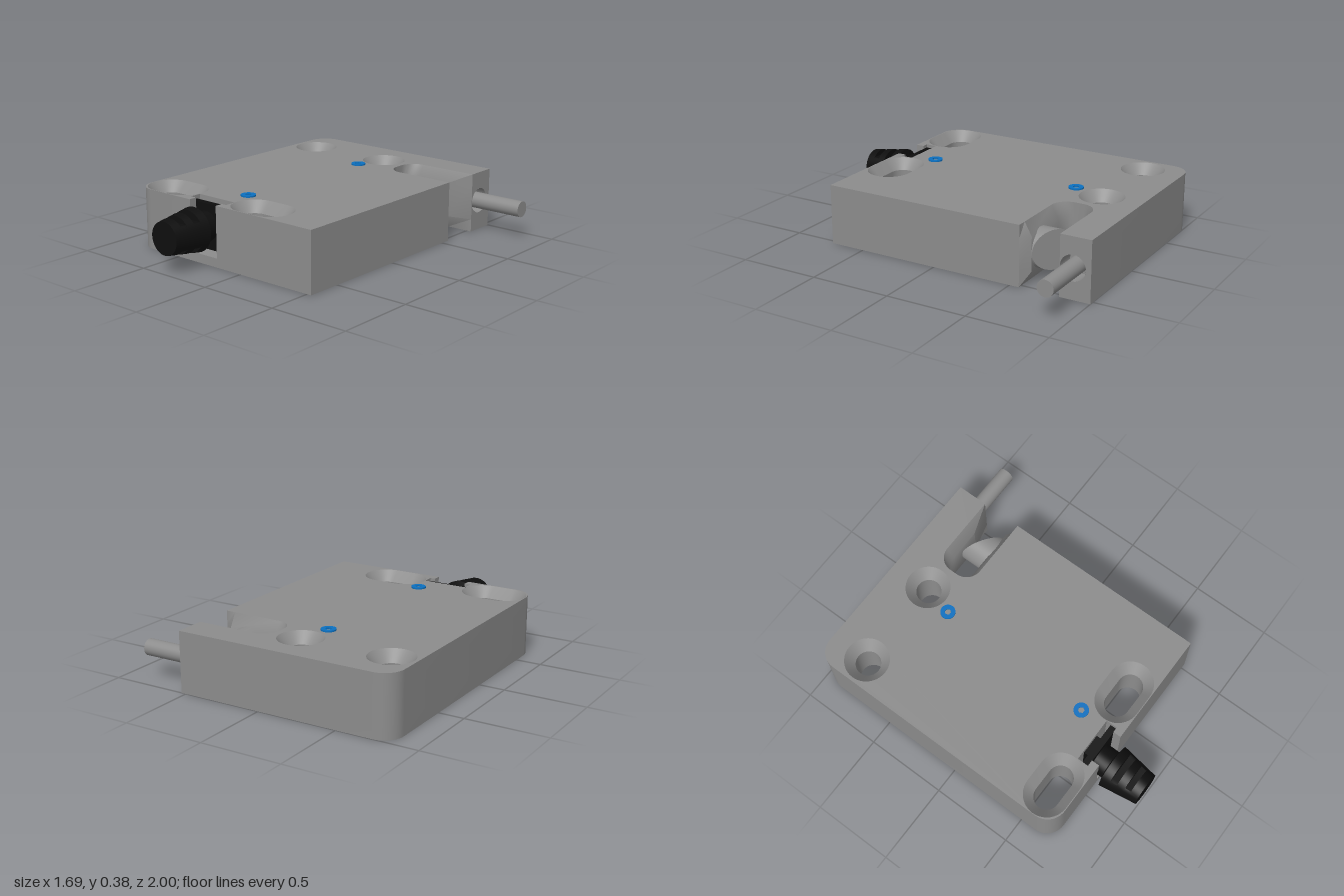
import * as THREE from 'three';
import { toCreasedNormals } from 'three/addons/utils/BufferGeometryUtils.js';

const H = 0.37, DEG = Math.PI / 180;

// Points [x, z] along an elliptical arc, counter-clockwise seen from above
function arc(cx, cz, rx, rz, from, to, n = 12) {
  return Array.from({ length: n + 1 }, (_, i) => {
    const a = (from + (to - from) * i / n) * DEG;
    return [cx + rx * Math.cos(a), cz - rz * Math.sin(a)];
  });
}

// Walls between rings of equal length; each section is { y, pts }
function loft(sections, skip = -1) {
  const pos = [];
  for (let s = 0; s < sections.length - 1; s++) {
    const lo = sections[s], hi = sections[s + 1], n = lo.pts.length;
    for (let i = 0; i < n; i++) {
      if (i === skip) continue;
      const j = (i + 1) % n;
      const at = (sec, k) => [sec.pts[k][0], sec.y, sec.pts[k][1]];
      const a = at(lo, i), b = at(lo, j), c = at(hi, j), d = at(hi, i);
      pos.push(...a, ...b, ...c, ...a, ...c, ...d);
    }
  }
  const g = new THREE.BufferGeometry();
  g.setAttribute('position', new THREE.Float32BufferAttribute(pos, 3));
  return toCreasedNormals(g, 30 * DEG);
}

// Body outline; t narrows the side pocket towards mid height
function outline(t) {
  const inset = 0.045 * t, front = -0.56 - inset, back = -0.81 + inset, rz = 0.1 - inset;
  return [
    ...arc(-0.725, 0.6, 0.12, 0.12, 180, 270),
    // cable notch
    [-0.395, 0.72], [-0.395, 0.67], [-0.435, 0.67], [-0.435, 0.6],
    [-0.152, 0.6], [-0.152, 0.67], [-0.185, 0.67], [-0.185, 0.72],
    [0.53, 0.72], [0.53, -0.56],
    // side pocket
    [0.47, front],
    ...arc(0.155, -0.66, 0.1, rz, 270, 180),
    ...arc(0.155, -0.71, 0.1, rz, 180, 90),
    [0.36, back], [0.53, -0.81], [0.53, -1],
    ...arc(-0.725, -0.88, 0.12, 0.12, 90, 180),
  ];
}

// Round hole (half = 0) or slot ring
const holeRing = (x, z, half, r) => [
  ...arc(x + half, z, r, r, -90, 90, 20), ...arc(x - half, z, r, r, 90, 270, 20)];

// Flat face from [x, z] points at height y, facing up or down
function cap(points, holes, y, up) {
  const s = up ? -1 : 1;
  const toVec = (list) => list.map(([x, z]) => new THREE.Vector2(x, s * z));
  const shape = new THREE.Shape(toVec(points));
  holes.forEach((h) => shape.holes.push(new THREE.Path(toVec(h))));
  return new THREE.ShapeGeometry(shape).rotateX(s * Math.PI / 2).translate(0, y, 0);
}

export function createModel() {
  const root = new THREE.Group();
  const material = (name, color, side = THREE.FrontSide) => {
    const m = new THREE.MeshStandardMaterial({ color, side });
    m.name = name;
    return m;
  };
  const grey = material('greyMetal', 0x8c8c8c, THREE.DoubleSide);
  const black = material('blackRubber', 0x0e0e0e);
  const blue = material('blueScrew', 0x0b70c0);
  const add = (name, geometry, mat, parent = root) => {
    const mesh = new THREE.Mesh(geometry, mat);
    mesh.name = name;
    parent.add(mesh);
    return mesh;
  };
  const box = (x0, x1, y0, y1, z0, z1) => new THREE.BoxGeometry(x1 - x0, y1 - y0, z1 - z0)
    .translate((x0 + x1) / 2, (y0 + y1) / 2, (z0 + z1) / 2);

  // Housing walls, leaving the arm end open for its bored face
  const body = new THREE.Group();
  body.name = 'housing';
  root.add(body);
  const wide = outline(0), narrow = outline(1);
  const armEnd = wide.findIndex(([x, z]) => x === 0.53 && z === -0.81);
  add('housingWalls', loft([
    { y: 0, pts: wide }, { y: 0.08, pts: narrow }, { y: H - 0.08, pts: narrow }, { y: H, pts: wide },
  ], armEnd), grey, body);

  // Mounting holes and slots, countersunk on both faces
  const mounts = [[-0.69, -0.745, 0], [-0.115, -0.745, 0], [-0.64, 0.58, 0.067], [0.05, 0.58, 0.067]];
  const rims = mounts.map(([x, z, half]) => holeRing(x, z, half, 0.135));
  mounts.forEach(([x, z, half], i) => {
    const big = [...rims[i]].reverse();
    const small = holeRing(x, z, half, 0.076).reverse();
    add('mountingHole', loft([
      { y: 0, pts: big }, { y: 0.065, pts: small }, { y: H - 0.065, pts: small }, { y: H, pts: big },
    ]), grey, body);
  });
  add('topFace', cap(wide, rims, H, true), grey, body);
  add('bottomFace', cap(wide, rims, 0, false), grey, body);

  // Floor of the cable notch
  add('notchFloor', box(-0.435, -0.152, 0, 0.055, 0.6, 0.67), grey, body);
  add('notchLip', box(-0.395, -0.185, 0, 0.055, 0.67, 0.72), grey, body);

  // Arm end with the rod bore
  const end = new THREE.Shape([[0.81, 0], [1, 0], [1, H], [0.81, H]].map((p) => new THREE.Vector2(...p)));
  end.holes.push(new THREE.Path().absarc(0.89, 0.187, 0.078, 0, Math.PI * 2));
  add('armEnd', new THREE.ShapeGeometry(end, 24).rotateY(Math.PI / 2).translate(0.53, 0, 0), grey, body);
  add('rodBore', new THREE.CylinderGeometry(0.078, 0.078, 0.12, 32, 1, true)
    .rotateZ(Math.PI / 2).translate(0.47, 0.187, -0.89), grey, body);
  add('boreFloor', new THREE.CircleGeometry(0.078, 32)
    .rotateY(Math.PI / 2).translate(0.41, 0.187, -0.89), grey, body);
  add('rod', new THREE.CylinderGeometry(0.05, 0.05, 0.435, 32)
    .rotateZ(Math.PI / 2).translate(0.6275, 0.187, -0.89), grey);

  // Latch bolt: cylinder with its free end cut at a slant
  const bolt = new THREE.CylinderGeometry(0.12, 0.12, 1, 40).rotateX(Math.PI / 2);
  const p = bolt.attributes.position;
  for (let i = 0; i < p.count; i++) {
    p.setZ(i, p.getZ(i) > 0 ? -0.54 : -0.69 + p.getX(i) * 0.68);
  }
  bolt.translate(0.35, 0.19, 0);
  add('latchBolt', toCreasedNormals(bolt, 30 * DEG), grey);

  // Cable grommet: neck, then a tapered sleeve with cuts above and below
  const grommet = new THREE.Group();
  grommet.name = 'cableGrommet';
  root.add(grommet);
  const taper = (z) => 0.135 - (z - 0.765) * 0.15;
  const ring = (z, r, limit = 1) => ({
    y: z,
    pts: arc(0, 0, r, r, 0, 360, 48).slice(0, 48)
      .map(([x, v]) => [x, Math.max(-limit, Math.min(limit, v))]),
  });
  const sections = [ring(0.66, 0.09), ring(0.755, 0.09), ring(0.765, 0.135)];
  for (const [z0, z1] of [[0.818, 0.861], [0.909, 0.947]]) {
    sections.push(ring(z0, taper(z0)), ring(z0, taper(z0), 0.075),
      ring(z1, taper(z1), 0.075), ring(z1, taper(z1)));
  }
  sections.push(ring(1, 0.1), ring(1, 0));
  add('grommetSleeve', loft(sections).rotateX(Math.PI / 2).translate(-0.315, 0.215, 0), black, grommet);
  add('grommetPlate', box(-0.433, -0.155, 0.075, 0.35, 0.63, 0.67), black, grommet);
  add('grommetPlug', box(-0.375, -0.25, 0.1, 0.33, 0.601, 0.63), black, grommet);

  // Small set screws with hexagonal sockets
  const screw = new THREE.Shape().absarc(0, 0, 0.045, 0, Math.PI * 2);
  screw.holes.push(new THREE.Path(Array.from({ length: 6 }, (_, i) =>
    new THREE.Vector2(0.02 * Math.cos(i * 60 * DEG), 0.02 * Math.sin(i * 60 * DEG)))));
  for (const [x, z] of [[-0.17, -0.55], [-0.19, 0.445]]) {
    add('setScrew', new THREE.ExtrudeGeometry(screw, { depth: 0.009, bevelEnabled: false, curveSegments: 24 })
      .rotateX(-Math.PI / 2).translate(x, H, z), blue);
  }
  return root;
}
